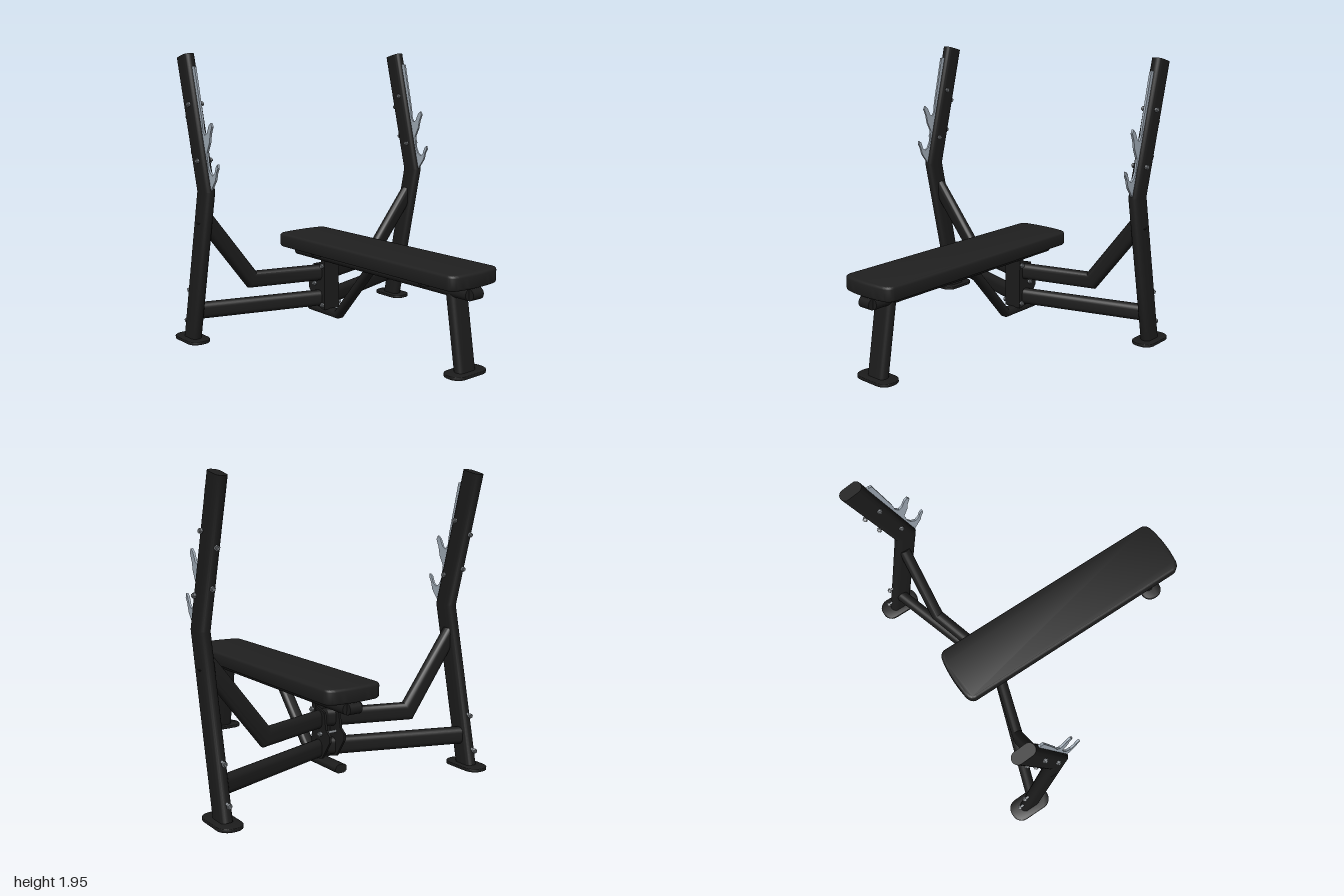
import * as THREE from 'three';
import { toCreasedNormals } from 'three/addons/utils/BufferGeometryUtils.js';

const V = (x, y, z) => new THREE.Vector3(x, y, z);
const material = (name, color) => Object.assign(new THREE.MeshStandardMaterial({ color }), { name });

// Rounded rectangle section, counter-clockwise
function section(w, h, r) {
  const pts = [];
  for (let c = 0; c < 4; c++) {
    const cx = (c === 0 || c === 3 ? 1 : -1) * (w / 2 - r);
    const cy = (c < 2 ? 1 : -1) * (h / 2 - r);
    for (let i = 0; i <= 6; i++) {
      const a = (c + i / 6) * Math.PI / 2;
      pts.push([cx + r * Math.cos(a), cy + r * Math.sin(a)]);
    }
  }
  return pts;
}

// Tube with a rounded section along a polyline, mitred at the bends
function barGeometry(path, hint, w, h, r) {
  const pts = section(w, h, r), n = pts.length;
  const dirs = path.slice(1).map((p, i) => p.clone().sub(path[i]).normalize());
  const rings = path.map((p, i) => {
    const d = dirs[Math.max(i - 1, 0)];
    const mitre = d.clone().add(dirs[Math.min(i, dirs.length - 1)]).normalize();
    const u = hint.clone().addScaledVector(d, -hint.dot(d)).normalize();
    const v = d.clone().cross(u);
    return pts.map(([a, b]) => {
      const o = u.clone().multiplyScalar(a).addScaledVector(v, b);
      return o.addScaledVector(d, -o.dot(mitre) / d.dot(mitre)).add(p);
    });
  });
  const pos = [];
  const tri = (...ps) => ps.forEach((p) => pos.push(p.x, p.y, p.z));
  for (let i = 0; i + 1 < rings.length; i++) {
    for (let j = 0; j < n; j++) {
      const k = (j + 1) % n, A = rings[i], B = rings[i + 1];
      tri(A[j], A[k], B[k]);
      tri(A[j], B[k], B[j]);
    }
  }
  const first = rings[0], last = rings[rings.length - 1];
  for (let j = 1; j + 1 < n; j++) {
    tri(first[0], first[j + 1], first[j]);
    tri(last[0], last[j], last[j + 1]);
  }
  const g = new THREE.BufferGeometry();
  g.setAttribute('position', new THREE.Float32BufferAttribute(pos, 3));
  return toCreasedNormals(g, 0.6);
}

// Flat plate from a plan outline, resting at height y
function slabGeometry(shape, y, height, bevel) {
  const g = new THREE.ExtrudeGeometry(shape, {
    depth: height - 2 * bevel, bevelThickness: bevel, bevelSize: bevel,
    bevelOffset: -bevel, bevelSegments: 4, curveSegments: 10,
  });
  g.rotateX(-Math.PI / 2).translate(0, y + bevel, 0);
  return toCreasedNormals(g, 0.6);
}

// Plate from a side outline of [z, y] points, centred on x
function sidePlateGeometry(points, x, thickness) {
  const shape = new THREE.Shape(points.map(([z, y]) => new THREE.Vector2(z, y)));
  const g = new THREE.ExtrudeGeometry(shape, { depth: thickness, bevelEnabled: false });
  return g.rotateY(-Math.PI / 2).translate(x + thickness / 2, 0, 0);
}

export function createModel() {
  const model = new THREE.Group();
  const frame = material('blackFrame', 0x1c1c1c);
  const vinyl = material('blackPad', 0x202020);
  const steel = material('hookSteel', 0xa0abb6);
  const boltMetal = material('boltMetal', 0x85898d);
  const X = V(1, 0, 0), Z = V(0, 0, 1);

  const add = (name, geometry, mat) => {
    const mesh = new THREE.Mesh(geometry, mat);
    mesh.name = name;
    model.add(mesh);
    return mesh;
  };
  const bar = (name, path, hint, w, h, r) => add(name, barGeometry(path, hint, w, h, r), frame);
  // Bolt: threaded shank with a hexagonal head at each end
  const bolt = (center, axis, length) => {
    const g = new THREE.Group();
    g.name = 'bolt';
    const shank = new THREE.Mesh(new THREE.CylinderGeometry(0.009, 0.009, length, 12), boltMetal);
    g.add(shank);
    for (const s of [-1, 1]) {
      const head = new THREE.Mesh(
        toCreasedNormals(new THREE.CylinderGeometry(0.017, 0.017, 0.013, 6), 0.5), boltMetal);
      head.position.y = s * (length / 2 - 0.014);
      g.add(head);
    }
    g.position.copy(center);
    g.quaternion.setFromUnitVectors(V(0, 1, 0), axis.clone().normalize());
    model.add(g);
  };
  const foot = (name, x, z, w, d) => {
    const pts = section(w, d, 0.07).map(([a, b]) => new THREE.Vector2(a, b));
    add(name, slabGeometry(new THREE.Shape(pts), 0, 0.022, 0.004), frame).position.set(x, 0, z);
  };

  // Pad with gently bowed ends
  const pad = new THREE.Shape();
  pad.moveTo(-0.205, -0.895);
  pad.quadraticCurveTo(-0.205, -0.94, -0.15, -0.953);
  pad.quadraticCurveTo(0, -0.98, 0.15, -0.953);
  pad.quadraticCurveTo(0.205, -0.94, 0.205, -0.895);
  pad.lineTo(0.205, 0.765);
  pad.quadraticCurveTo(0.205, 0.81, 0.15, 0.823);
  pad.quadraticCurveTo(0, 0.845, -0.15, 0.823);
  pad.quadraticCurveTo(-0.205, 0.81, -0.205, 0.765);
  add('pad', slabGeometry(pad, 0.56, 0.098, 0.018), vinyl);

  // Spine under the pad, with rounded ends and cross brackets
  bar('spine', [V(0, 0.518, -0.79), V(0, 0.518, 0.93)], X, 0.15, 0.075, 0.036);
  for (const z of [-0.79, 0.93]) {
    const end = add('spineEnd', new THREE.CylinderGeometry(0.037, 0.037, 0.09, 20), frame);
    end.rotation.z = Math.PI / 2;
    end.position.set(0, 0.518, z);
  }
  const bracket = new THREE.Shape([[-0.165, 0.56], [-0.165, 0.54], [-0.12, 0.52], [0.12, 0.52],
    [0.165, 0.54], [0.165, 0.56]].map(([x, y]) => new THREE.Vector2(x, y)));
  for (const z of [-0.47, 0.62]) {
    const g = new THREE.ExtrudeGeometry(bracket, { depth: 0.012, bevelEnabled: false });
    add('padBracket', g, frame).position.z = z;
    const flange = add('padBracketFlange', new THREE.BoxGeometry(0.33, 0.01, 0.06), frame);
    flange.position.set(0, 0.555, z + 0.03);
  }

  // Front leg
  bar('frontLeg', [V(0, 0.015, 0.862), V(0, 0.5, 0.785)], X, 0.15, 0.075, 0.036);
  foot('frontFoot', 0, 0.865, 0.29, 0.16);

  // Bent brace from the spine to the rear joint
  bar('brace', [V(0, 0.51, -0.008), V(0, 0.107, -0.367), V(0, 0.107, -0.68)], X, 0.085, 0.055, 0.026);

  // Rear joint: post and gusset plates
  const post = add('rearPost', new THREE.BoxGeometry(0.13, 0.36, 0.04), frame);
  post.position.set(0, 0.31, -0.47);
  const gusset = [[-0.47, 0.13], [-0.56, 0.15], [-0.64, 0.27], [-0.64, 0.31], [-0.6, 0.34],
    [-0.58, 0.45], [-0.47, 0.48]];
  for (const x of [-0.055, 0.055]) add('gusset', sidePlateGeometry(gusset, x, 0.015), frame);
  bolt(V(0, 0.31, -0.555), X, 0.18);
  for (const y of [0.165, 0.45]) bolt(V(0, y, -0.465), X, 0.18);
  for (const z of [0.07, 0.88]) bolt(V(0, 0.515, z), V(0, 1, 0), 0.085);

  // Bar hooks: one plate with two catches
  const hook = [[-0.53, 1.06], [-0.515, 1.07], [-0.46, 1.14], [-0.445, 1.19], [-0.427, 1.22],
    [-0.43, 1.245], [-0.45, 1.23], [-0.468, 1.185], [-0.495, 1.165], [-0.525, 1.185],
    [-0.545, 1.225], [-0.556, 1.31], [-0.522, 1.375], [-0.51, 1.43], [-0.488, 1.48],
    [-0.5, 1.505], [-0.525, 1.485], [-0.55, 1.435], [-0.575, 1.42], [-0.597, 1.45],
    [-0.606, 1.52], [-0.68, 1.855], [-0.7, 1.86], [-0.75, 1.84], [-0.56, 1.06]];

  for (const s of [-1, 1]) {
    const x = 0.918 * s;
    bar('upright', [V(x, 0.01, -0.825), V(x, 1.055, -0.59), V(x, 1.925, -0.805)], X, 0.075, 0.147, 0.036);
    foot('uprightFoot', 0.92 * s, -0.825, 0.16, 0.29);
    add('barHooks', sidePlateGeometry(hook, x, 0.014), steel);

    // Cross beams sweeping back from the rear joint
    bar('upperBeam', [V(0, 0.395, -0.5), V(0.54 * s, 0.395, -0.66), V(0.915 * s, 0.875, -0.64)],
      Z, 0.075, 0.115, 0.036);
    bar('lowerBeam', [V(0, 0.208, -0.5), V(0.915 * s, 0.208, -0.795)], Z, 0.075, 0.115, 0.036);

    // Bolts through the upright, sideways and from the back
    bolt(V(x, 1.615, -0.70), X, 0.125);
    bolt(V(x, 1.255, -0.61), X, 0.125);
    for (const [y, z] of [[1.525, -0.795], [1.3, -0.74]]) bolt(V(x, y + 0.01, z + 0.035), V(0, 0.24, 0.97), 0.1);
    for (const [y, z] of [[0.345, -0.85], [0.12, -0.9]]) bolt(V(x, y + 0.01, z + 0.035), V(0, 0.22, 0.97), 0.1);
  }
  return model;
}
